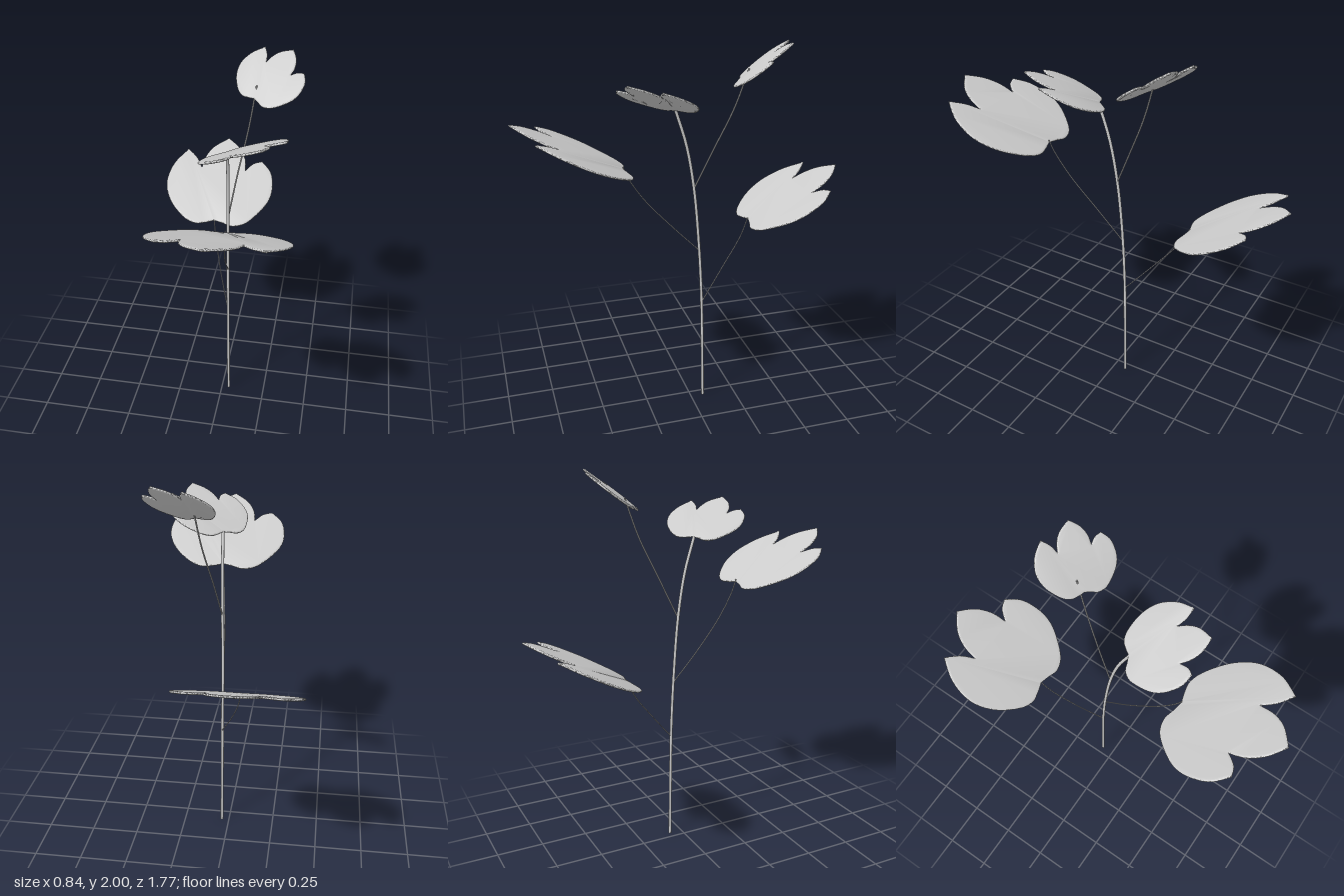
import * as THREE from 'three';
import { toCreasedNormals } from 'three/addons/utils/BufferGeometryUtils.js';

const material = new THREE.MeshStandardMaterial({ color: 0xcccccc, side: THREE.DoubleSide });
const vec = (p) => new THREE.Vector3(...p);

// Leaf outline as smooth runs between sharp points (notches and lobe tips); x right, y from base to tip
const RUNS = [
  [[0.05, -0.012], [0.11, -0.028], [0.18, 0], [0.25, 0.085], [0.293, 0.17], [0.302, 0.26], [0.28, 0.36], [0.22, 0.434]],
  [[0.17, 0.412], [0.13, 0.36]],
  [[0.118, 0.44], [0.075, 0.52], [0, 0.586]],
  [[-0.08, 0.515], [-0.118, 0.44], [-0.13, 0.36]],
  [[-0.168, 0.425], [-0.23, 0.484]],
  [[-0.295, 0.38], [-0.32, 0.27], [-0.308, 0.18], [-0.262, 0.09], [-0.18, 0.005], [-0.11, -0.028], [-0.05, -0.018], [0, 0]],
];
const LENGTH = 0.586;

function leafGeometry(sx, sy) {
  const shape = new THREE.Shape();
  shape.moveTo(0, 0);
  for (const run of RUNS) shape.splineThru(run.map(([x, y]) => new THREE.Vector2(x * sx, y * sy)));
  const geometry = new THREE.ExtrudeGeometry(shape, {
    depth: 0.003, curveSegments: 18,
    bevelEnabled: true, bevelThickness: 0.0045, bevelSize: 0.012, bevelOffset: -0.012, bevelSegments: 3,
  });
  geometry.translate(0, 0, -0.0015);
  return toCreasedNormals(geometry, 0.7);
}

// Places a leaf from its base to its tip; "right" is the sideways direction of the blade
function leaf(name, base, tip, right, widthScale) {
  const b = vec(base);
  const along = vec(tip).sub(b);
  const sy = along.length() / LENGTH;
  along.normalize();
  const side = vec(right);
  side.addScaledVector(along, -side.dot(along)).normalize();
  const normal = new THREE.Vector3().crossVectors(side, along);
  const mesh = new THREE.Mesh(leafGeometry(widthScale, sy), material);
  mesh.name = name;
  mesh.quaternion.setFromRotationMatrix(new THREE.Matrix4().makeBasis(side, along, normal));
  mesh.position.copy(b);
  return mesh;
}

// Round stalk through a few points
function stalk(name, points, radius, sides) {
  const curve = new THREE.CatmullRomCurve3(points.map(vec));
  const mesh = new THREE.Mesh(new THREE.TubeGeometry(curve, 32, radius, sides), material);
  mesh.name = name;
  return mesh;
}

export function createModel() {
  const group = new THREE.Group();
  group.name = 'plant';

  // Main stem and its three side twigs
  group.add(
    stalk('stem', [[0.04, 0, -0.07], [0.037, 0.35, -0.066], [0.035, 0.65, -0.06], [0.034, 0.95, -0.044],
      [0.038, 1.25, -0.016], [0.043, 1.48, 0.025], [0.048, 1.667, 0.083]], 0.008, 10),
    stalk('lowerBackTwig', [[0.035, 0.595, -0.066], [-0.03, 0.75, -0.2], [-0.08, 0.9, -0.32], [-0.1, 1, -0.37]], 0.0028, 6),
    stalk('frontTwig', [[0.035, 0.9, -0.045], [0.044, 1.05, 0.1], [0.065, 1.22, 0.25], [0.08, 1.35, 0.335],
      [0.086, 1.41, 0.36]], 0.003, 6),
    stalk('upperBackTwig', [[0.038, 1.245, -0.015], [0.07, 1.45, -0.105], [0.11, 1.67, -0.2],
      [0.135, 1.865, -0.262]], 0.004, 6),
  );

  // Three-lobed leaves
  group.add(
    leaf('lowerBackLeaf', [-0.1, 0.993, -0.37], [-0.1, 1.258, -0.885], [1, 0, 0], 1),
    leaf('frontLeaf', [0.086, 1.397, 0.36], [0.08, 1.655, 0.885], [-1, -0.025, 0], 1.04),
    leaf('topLeaf', [0.046, 1.664, 0.076], [0.25, 1.835, 0.365], [-0.26, -0.03, 0.16], 0.675),
    leaf('upperBackLeaf', [0.128, 1.815, -0.218], [0.295, 2.0, -0.415], [0.22, -0.055, 0.16], 0.61),
  );
  return group;
}
